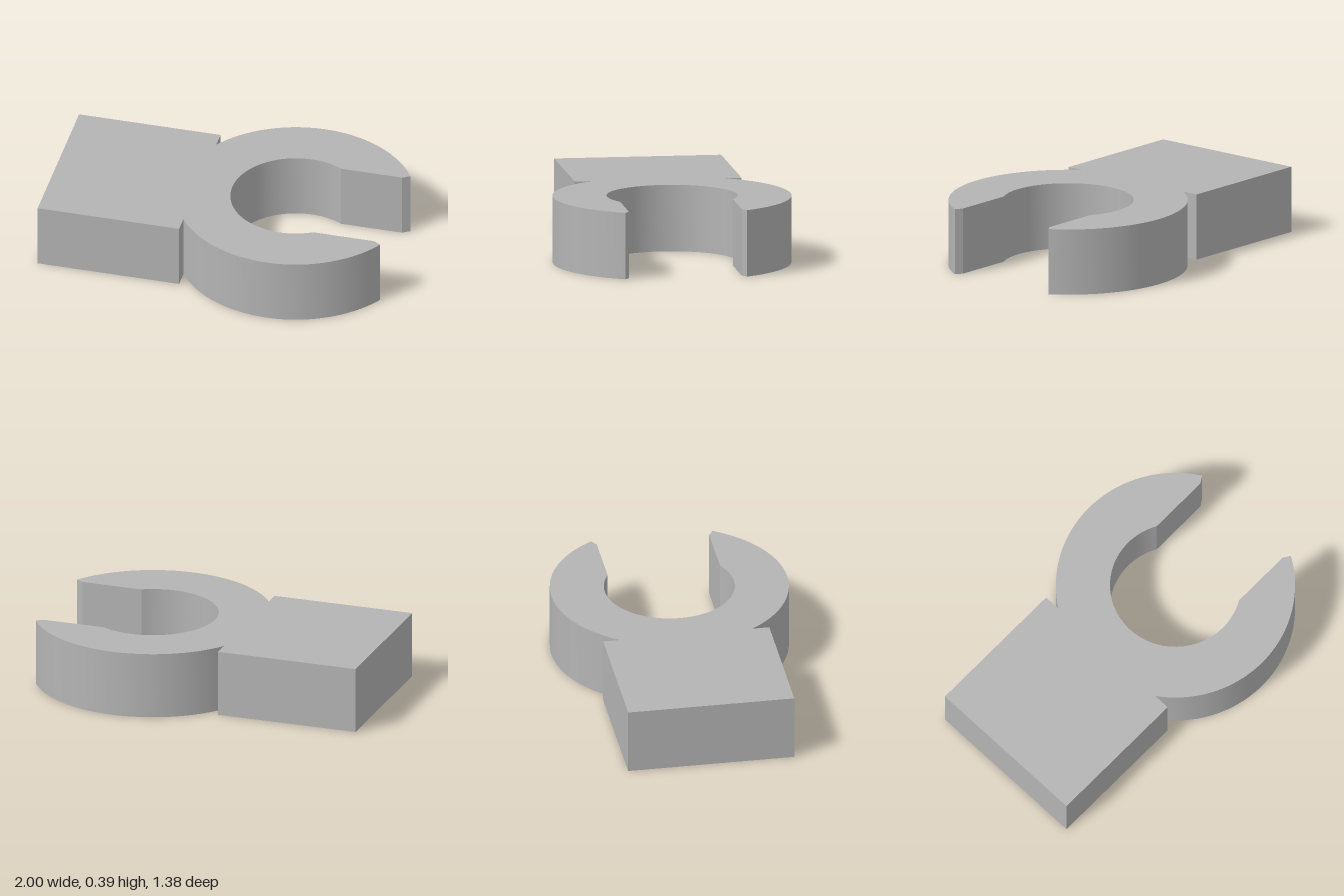
import * as THREE from 'three';
import { toCreasedNormals } from 'three/addons/utils/BufferGeometryUtils.js';

const HEIGHT = 0.387;
const CX = 0.41;          // centre of the ring
const OUTER = 0.688;
const INNER = 0.377;
const NECK_X = -0.16;     // where the block ends
const BLOCK_Z = 0.485;    // half width of the block
const SLOT_Z = 0.328;     // half width of the mouth

export function createModel() {
  const group = new THREE.Group();
  const grey = new THREE.MeshStandardMaterial({ color: 0xb4b4b4 });
  grey.name = 'grey';

  const neckAngle = Math.acos((NECK_X - CX) / OUTER);
  const tipAngle = Math.acos((1 - CX) / OUTER);
  const mouthAngle = Math.asin(SLOT_Z / INNER);

  // Outline: block, notch, outer arc, mouth, inner arc, and back again
  const outline = new THREE.Shape();
  outline.moveTo(-1, -BLOCK_Z);
  outline.lineTo(NECK_X, -BLOCK_Z);
  outline.absarc(CX, 0, OUTER, -neckAngle, -tipAngle, false);
  outline.lineTo(0.958, -SLOT_Z);
  outline.absarc(CX, 0, INNER, -mouthAngle, mouthAngle, true);
  outline.lineTo(0.958, SLOT_Z);
  outline.absarc(CX, 0, OUTER, tipAngle, neckAngle, false);
  outline.lineTo(NECK_X, BLOCK_Z);
  outline.lineTo(-1, BLOCK_Z);
  outline.closePath();

  const solid = new THREE.ExtrudeGeometry(outline, { depth: HEIGHT, bevelEnabled: false, curveSegments: 32 });
  solid.rotateX(-Math.PI / 2);

  // Smooth arcs, sharp corners
  const clip = new THREE.Mesh(toCreasedNormals(solid, 0.35), grey);
  clip.name = 'openRingClip';
  group.add(clip);
  return group;
}
